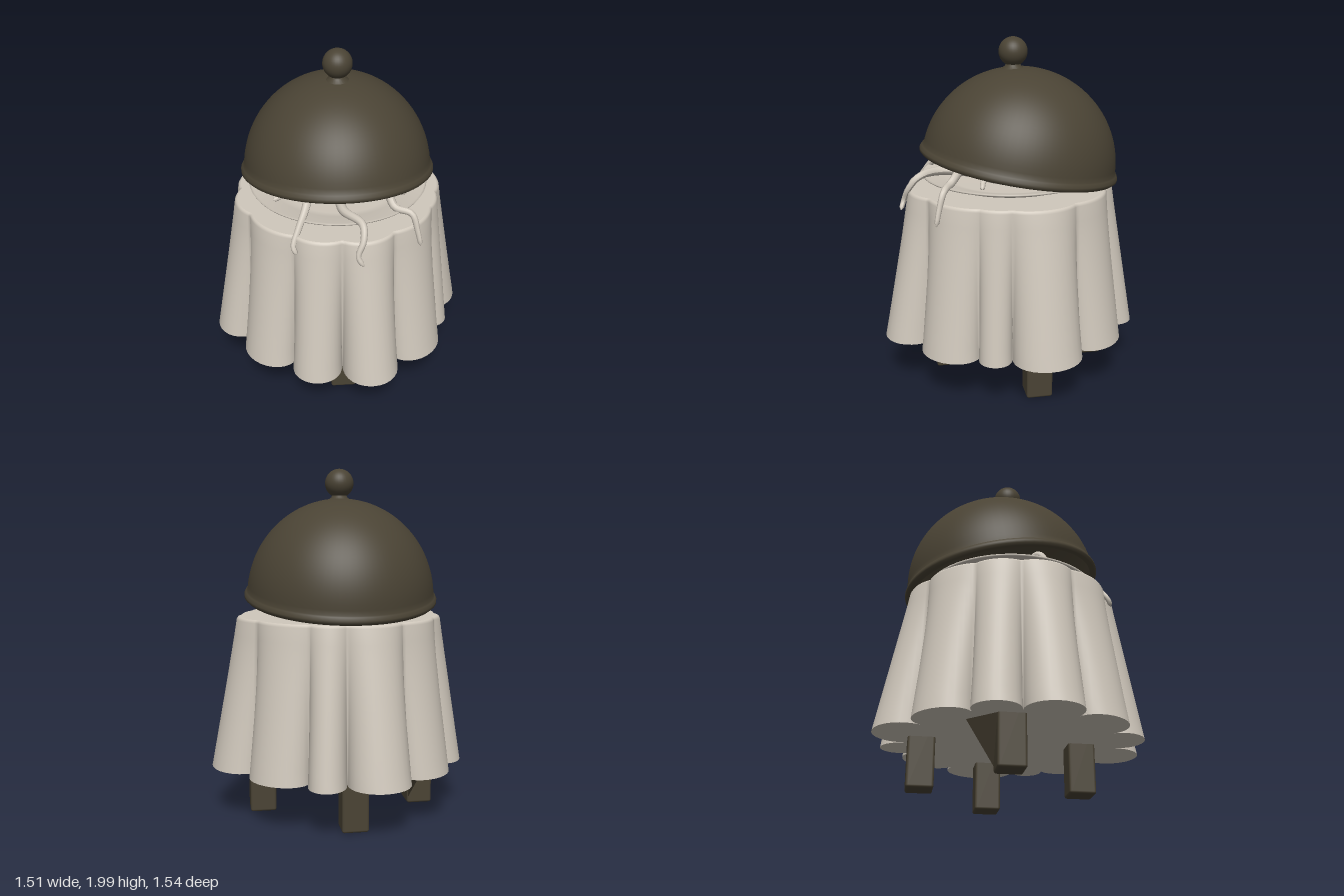
import * as THREE from 'three';
import { RoundedBoxGeometry } from 'three/addons/geometries/RoundedBoxGeometry.js';

const bronze = new THREE.MeshStandardMaterial({ color: 0x4a4334, side: THREE.DoubleSide });
bronze.name = 'dark bronze';
const linen = new THREE.MeshStandardMaterial({ color: 0xd0c8bc });
linen.name = 'pale linen';

const V = (x, y, z) => new THREE.Vector3(x, y, z);
const lerp = THREE.MathUtils.lerp;

function add(parent, name, geometry, material, x = 0, y = 0, z = 0) {
  const mesh = new THREE.Mesh(geometry, material);
  mesh.name = name;
  mesh.position.set(x, y, z);
  parent.add(mesh);
  return mesh;
}

// Cloth folds: [start angle in degrees, outer radius at the hem]
const FOLDS = [
  [-29, 0.77], [9, 0.69], [27, 0.73], [62, 0.785], [92, 0.745], [119, 0.73],
  [153, 0.765], [183, 0.73], [208, 0.725], [242, 0.785], [275, 0.745], [295, 0.725],
];

// One horizontal section of the cloth; t runs from 0 at the top to 1 at the hem
function clothRing(t, y, scale = 1) {
  const ring = [], steps = 16;
  FOLDS.forEach(([start, tip], i) => {
    const end = i + 1 < FOLDS.length ? FOLDS[i + 1][0] : FOLDS[0][0] + 360;
    const outer = lerp(0.6 + (tip - 0.74) * 0.3, tip, t);
    const valley = lerp(0.575, 0.585, t);
    for (let k = 0; k < steps; k++) {
      const a = (Math.PI * k) / steps;
      // Elliptical lobes that grow rounder towards the hem
      const u = lerp(k / steps, (1 - Math.cos(a)) / 2, 0.3 + 0.7 * t);
      const r = (valley + (outer - valley) * Math.sin(a)) * scale;
      const angle = THREE.MathUtils.degToRad(lerp(start, end, u));
      ring.push(V(Math.cos(angle) * r, y, Math.sin(angle) * r));
    }
  });
  return ring;
}

function clothSide() {
  const rings = [clothRing(0, 1.155, 0.975), clothRing(0, 1.151, 0.99), clothRing(0.01, 1.138)];
  for (let i = 1; i <= 10; i++) rings.push(clothRing(i / 10, lerp(1.138, 0.29, i / 10)));
  const n = rings[0].length, index = [];
  for (let i = 0; i < rings.length - 1; i++) {
    for (let j = 0; j < n; j++) {
      const a = i * n + j, b = i * n + ((j + 1) % n);
      index.push(a, b, a + n, b, b + n, a + n);
    }
  }
  const g = new THREE.BufferGeometry().setFromPoints(rings.flat());
  g.setIndex(index);
  g.computeVertexNormals();
  return g;
}

function clothCap(ring, up) {
  const n = ring.length, index = [];
  for (let j = 0; j < n; j++) {
    const k = (j + 1) % n;
    index.push(n, up ? k : j, up ? j : k);
  }
  const g = new THREE.BufferGeometry().setFromPoints([...ring, V(0, ring[0].y, 0)]);
  g.setIndex(index);
  g.computeVertexNormals();
  return g;
}

// Tube whose rings shrink towards the tip
function taperedTube(points, r0, r1) {
  const curve = new THREE.CatmullRomCurve3(points.map((p) => V(...p)));
  const n = 36, sides = 10;
  const g = new THREE.TubeGeometry(curve, n, r0, sides);
  const pos = g.attributes.position, v = V(0, 0, 0);
  for (let i = 0; i <= n; i++) {
    const c = curve.getPointAt(i / n);
    const s = i === n ? 0.01 : lerp(1, r1 / r0, i / n);
    for (let j = 0; j <= sides; j++) {
      const k = i * (sides + 1) + j;
      v.fromBufferAttribute(pos, k).sub(c).multiplyScalar(s).add(c);
      pos.setXYZ(k, v.x, v.y, v.z);
    }
  }
  g.computeVertexNormals();
  return g;
}

// Thick hemispherical shell with a flared lip
function domeProfile() {
  const p = [];
  for (let i = 0; i <= 20; i++) {
    const a = Math.PI / 2 * (1 - i / 20);
    p.push(new THREE.Vector2(0.545 * Math.cos(a), 0.53 * Math.sin(a)));
  }
  [[0.55, -0.012], [0.575, -0.015], [0.588, -0.003], [0.588, 0.012], [0.578, 0.03], [0.57, 0.036]]
    .forEach(([x, y]) => p.push(new THREE.Vector2(x, y)));
  for (let i = 2; i <= 28; i++) {
    const a = (Math.PI / 2) * (i / 28);
    p.push(new THREE.Vector2(Math.max(0, 0.57 * Math.cos(a)), 0.565 * Math.sin(a)));
  }
  return p;
}

export function createModel() {
  const model = new THREE.Group();
  model.name = 'coveredDishTable';

  // Four table legs
  const legs = new THREE.Group();
  legs.name = 'legs';
  model.add(legs);
  for (const [x, z] of [[0.47, -0.075], [-0.47, -0.075], [0, 0.39], [0, -0.5]]) {
    add(legs, 'leg', new RoundedBoxGeometry(0.15, 0.38, 0.15, 2, 0.014), bronze, x, 0.2, z);
  }
  // Slanting brace behind one leg
  const [a, b, c, d] = [V(-0.4, 0.05, -0.15), V(-0.4, 0.3, -0.3), V(-0.4, 0.3, -0.15), V(-0.54, 0.3, -0.15)];
  const brace = new THREE.BufferGeometry().setFromPoints([a, c, b, a, b, d, b, c, d]);
  brace.computeVertexNormals();
  add(legs, 'legBrace', brace, bronze);

  // Draped tablecloth
  const cloth = new THREE.Group();
  cloth.name = 'tablecloth';
  model.add(cloth);
  add(cloth, 'clothFolds', clothSide(), linen);
  add(cloth, 'clothTop', clothCap(clothRing(0, 1.155, 0.975), true), linen);
  add(cloth, 'clothUnderside', clothCap(clothRing(1, 0.29), false), linen);

  // Plate and the creature lying on it
  const plate = [[0, 1.152], [0.3, 1.155], [0.4, 1.175], [0.51, 1.213], [0.515, 1.222], [0.505, 1.226],
    [0.39, 1.195], [0.33, 1.18], [0, 1.18]].map(([x, y]) => new THREE.Vector2(x, y));
  add(model, 'plate', new THREE.LatheGeometry(plate, 64), linen);
  const coil = add(model, 'creatureCoil', new THREE.TorusGeometry(0.16, 0.035, 12, 40), linen, -0.02, 1.21, 0);
  coil.rotation.x = Math.PI / 2;
  add(model, 'creatureHead', new THREE.SphereGeometry(0.125, 28, 18), linen, -0.02, 1.24, 0).scale.y = 0.6;

  const tentacles = new THREE.Group();
  tentacles.name = 'tentacles';
  model.add(tentacles);
  [
    [[-0.08, 1.24, 0.08], [-0.16, 1.36, 0.28], [-0.21, 1.26, 0.42], [-0.25, 1.18, 0.48], [-0.28, 1.1, 0.53], [-0.26, 1.065, 0.55]],
    [[0, 1.21, 0.1], [0.0, 1.24, 0.4], [0.09, 1.235, 0.54], [0.09, 1.17, 0.6], [0.06, 1.09, 0.63], [0.09, 1.04, 0.65]],
    [[0.1, 1.24, 0.08], [0.23, 1.36, 0.26], [0.28, 1.24, 0.38], [0.37, 1.22, 0.43], [0.4, 1.13, 0.46], [0.42, 1.04, 0.48]],
    [[-0.1, 1.24, 0.03], [-0.28, 1.36, 0.12], [-0.31, 1.25, 0.2], [-0.38, 1.23, 0.25]],
    [[0.1, 1.24, 0.0], [0.27, 1.38, 0.1], [0.31, 1.26, 0.2], [0.37, 1.22, 0.22]],
  ].forEach((path) => add(tentacles, 'tentacle', taperedTube(path, 0.036, 0.013), linen));

  // Tilted serving dome with its knob
  const dome = add(model, 'dome', new THREE.LatheGeometry(domeProfile(), 72), bronze, 0, 1.27, -0.055);
  dome.scale.set(0.95, 0.99, 1);
  dome.rotation.x = -0.17;
  const neck = [[0.075, 1.815], [0.045, 1.838], [0.04, 1.86]].map(([x, y]) => new THREE.Vector2(x, y));
  add(model, 'knobNeck', new THREE.LatheGeometry(neck, 28), bronze, 0, 0, -0.02);
  add(model, 'knob', new THREE.SphereGeometry(0.083, 32, 20), bronze, 0, 1.917, -0.02);

  return model;
}
